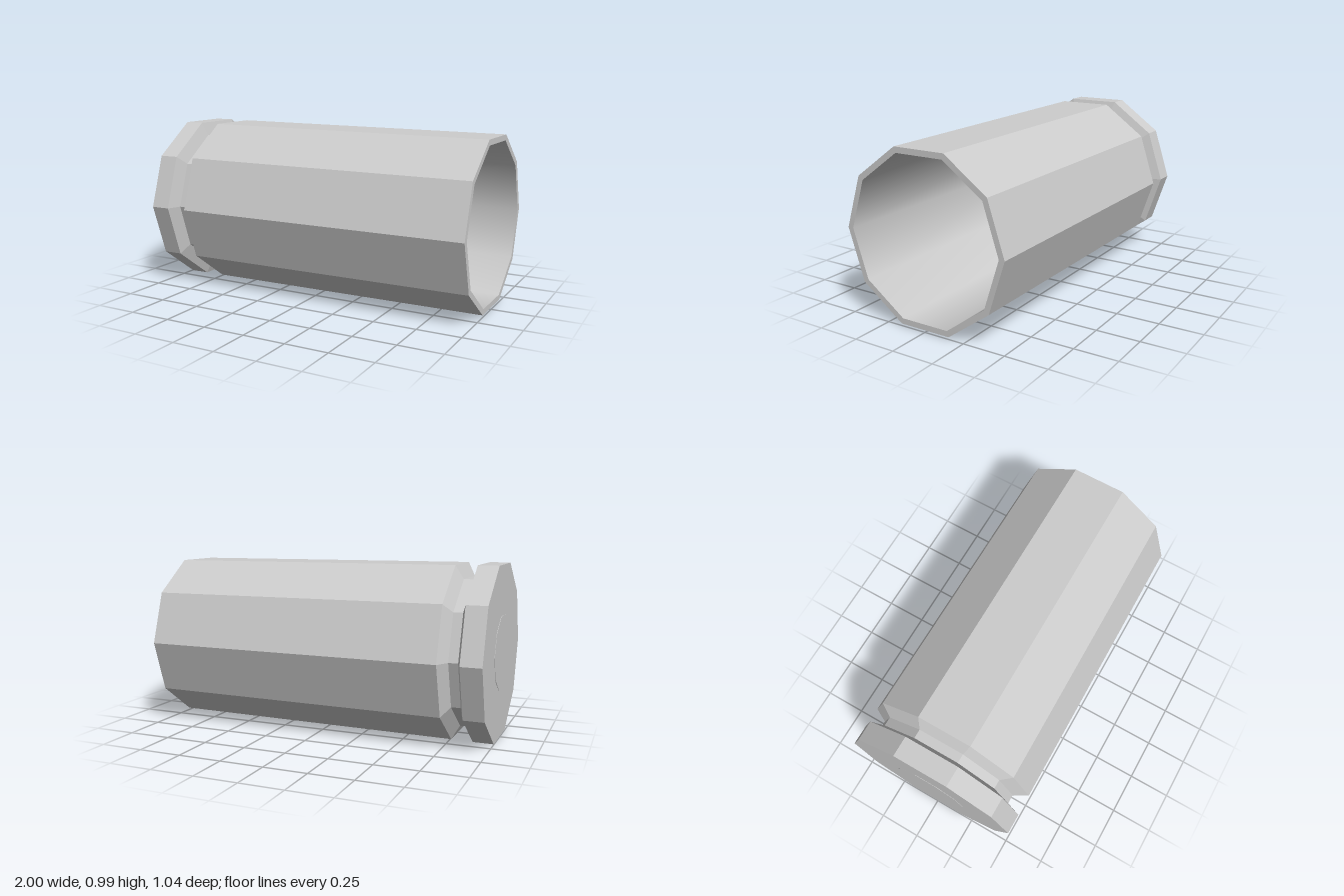
import * as THREE from 'three';

const SIDES = 10;
const AXIS_HEIGHT = 0.495;

export function createModel() {
  const group = new THREE.Group();
  group.name = 'casing';
  const metal = new THREE.MeshStandardMaterial({ color: 0xcccccc });
  metal.name = 'grey metal';

  // Ten-sided turned part along x; each profile point is [radius, x]
  function turned(name, profile, smooth) {
    const points = profile.map(([r, x]) => new THREE.Vector2(r, x));
    let geometry = new THREE.LatheGeometry(points, SIDES);
    if (!smooth) {
      geometry = geometry.toNonIndexed();
      geometry.computeVertexNormals();
    }
    geometry.rotateZ(-Math.PI / 2);
    const mesh = new THREE.Mesh(geometry, metal);
    mesh.name = name;
    mesh.position.y = AXIS_HEIGHT;
    group.add(mesh);
  }

  // Closed base with its flange, the groove, and the gently tapering body
  turned('base', [[0, -0.998], [0.52, -0.998], [0.52, -0.88]]);
  turned('groove', [[0.52, -0.88], [0.437, -0.853], [0.437, -0.8], [0.518, -0.757]]);
  turned('body', [[0.518, -0.757], [0.507, 1]]);
  turned('mouthRim', [[0.507, 1], [0.473, 1]]);

  // Smoothly shaded hollow, open at the mouth
  turned('hollow', [[0.473, 1], [0.473, -0.75], [0, -0.75]], true);

  // Small disc in the middle of the base
  turned('baseDisc', [[0, -1], [0.22, -1], [0.22, -0.998]]);

  return group;
}
